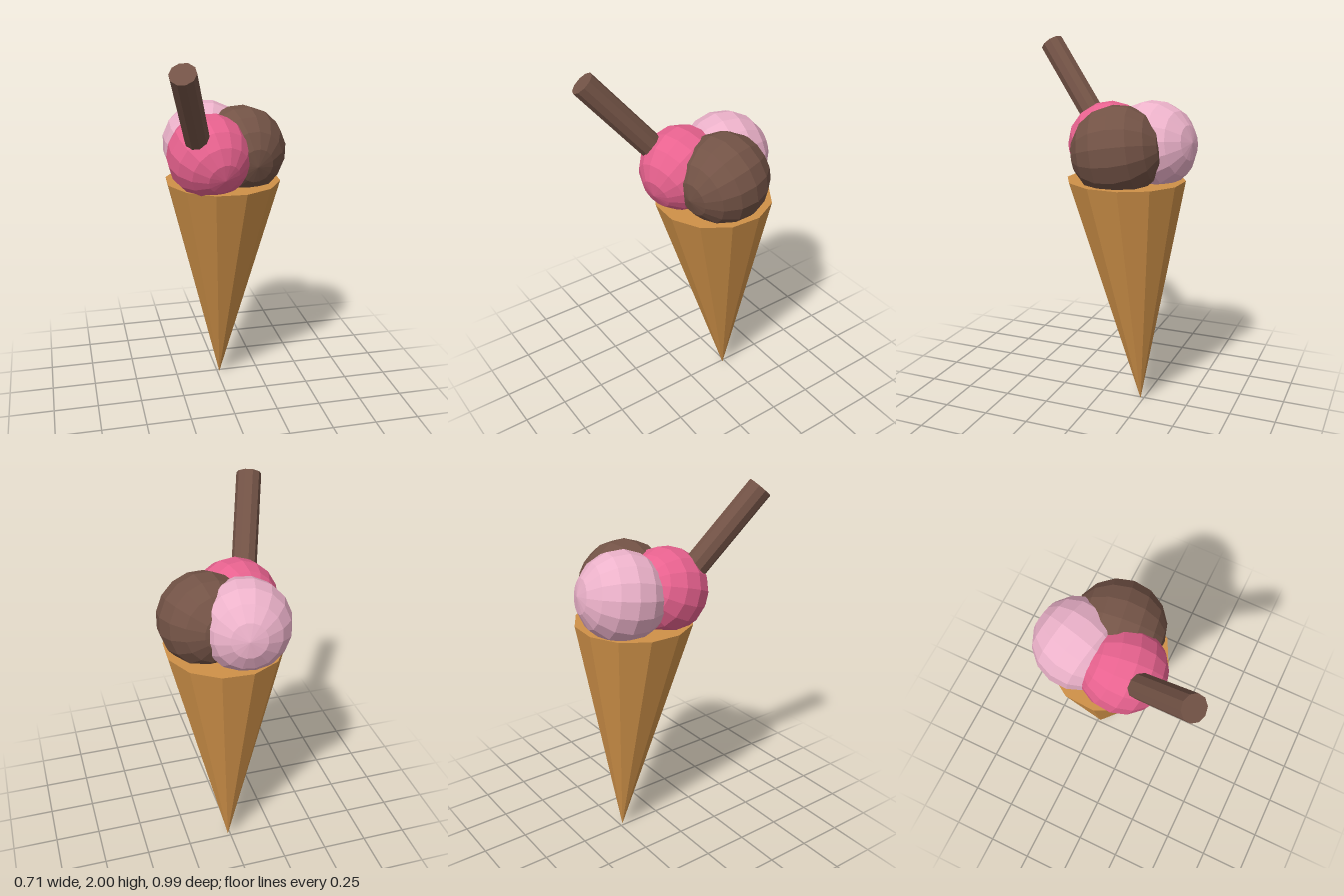
import * as THREE from 'three';

const UP = new THREE.Vector3(0, 1, 0);

function part(name, geometry, color) {
  const material = new THREE.MeshStandardMaterial({ color, flatShading: true });
  const mesh = new THREE.Mesh(geometry, material);
  mesh.name = name;
  return mesh;
}

// Faceted ball whose pole points along the given direction
function scoop(name, radius, centre, pole, color) {
  const mesh = part(name, new THREE.SphereGeometry(radius, 16, 8), color);
  mesh.position.set(...centre);
  mesh.quaternion.setFromUnitVectors(UP, new THREE.Vector3(...pole).normalize());
  return mesh;
}

export function createModel() {
  const model = new THREE.Group();
  model.name = 'iceCream';

  // Twelve-sided wafer cone with a closed top, leaning so its tip sits back
  const height = 1.275;
  const coneGeometry = new THREE.CylinderGeometry(
    0.32, 0, height, 12, 1, false, THREE.MathUtils.degToRad(12));
  coneGeometry.translate(0, height / 2, 0);
  const pos = coneGeometry.attributes.position;
  for (let i = 0; i < pos.count; i++) {
    const t = pos.getY(i) / height;
    pos.setX(i, pos.getX(i) + 0.013);
    pos.setZ(i, pos.getZ(i) - 0.233 + 0.098 * t);
  }
  model.add(part('cone', coneGeometry, 0xcf9148));

  // Three scoops resting on the cone
  model.add(scoop('frontScoop', 0.228, [-0.088, 1.445, -0.002], [0.2, -0.35, 0.9], 0xe8628f));
  model.add(scoop('backScoop', 0.24, [-0.06, 1.452, -0.258], [0.2, 0.15, -0.95], 0xecb2ca));
  model.add(scoop('leftScoop', 0.245, [0.115, 1.438, -0.123], [0.15, -0.15, 0.97], 0x735346));

  // Chocolate stick pushed into the front scoop
  const top = new THREE.Vector3(-0.295, 1.958, 0.437);
  const bottom = new THREE.Vector3(-0.15, 1.49, 0.06);
  const axis = top.clone().sub(bottom);
  const stick = part('stick', new THREE.CylinderGeometry(0.067, 0.067, axis.length(), 10), 0x735346);
  stick.position.copy(top).add(bottom).multiplyScalar(0.5);
  stick.quaternion.setFromUnitVectors(UP, axis.normalize());
  model.add(stick);

  return model;
}
